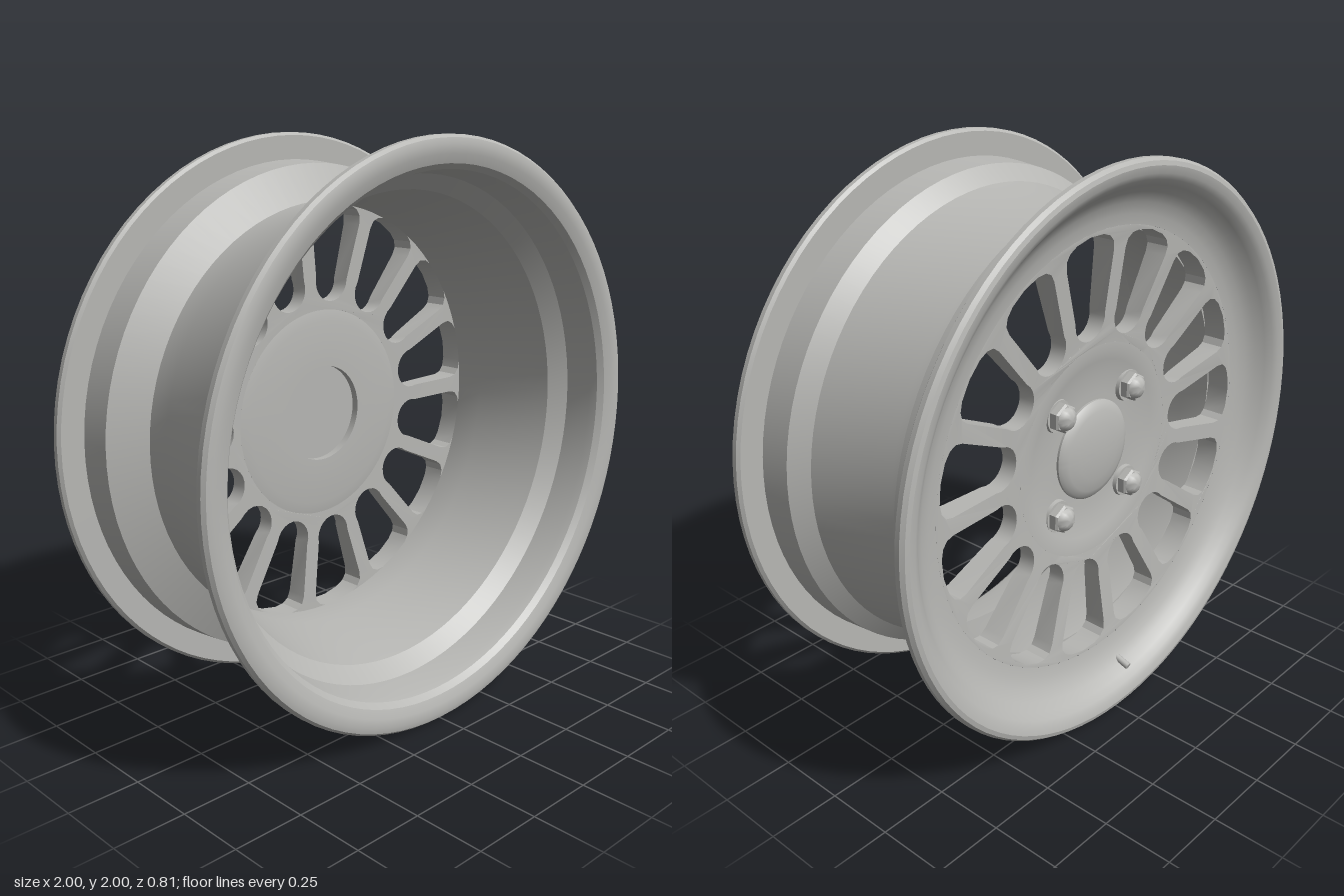
import * as THREE from 'three';
import { toCreasedNormals } from 'three/addons/utils/BufferGeometryUtils.js';

const SIDES = 90;
const SPOKES = 15;
const DISC_IN = 0.38, DISC_OUT = 0.775;
const metal = new THREE.MeshStandardMaterial({ color: 0xb6b6b3 });
metal.name = 'grey metal';

function add(parent, name, geometry) {
  const mesh = new THREE.Mesh(geometry, metal);
  mesh.name = name;
  parent.add(mesh);
  return mesh;
}

// Turn a profile of [radius, z] points about the z axis
function turned(profile, sides = SIDES, crease = 0.45) {
  const g = new THREE.LatheGeometry(profile.map(([r, z]) => new THREE.Vector2(r, z)), sides);
  g.rotateX(Math.PI / 2);
  return toCreasedNormals(g, crease);
}

function circle(radius) {
  return Array.from({ length: SIDES }, (_, i) => {
    const a = (i / SIDES) * Math.PI * 2;
    return new THREE.Vector2(radius * Math.cos(a), radius * Math.sin(a));
  });
}

// One window between two spokes: round inner end, chamfered outer end
function windowPoints(angle) {
  const half = [];
  for (let i = 0; i <= 6; i++) {
    const t = Math.PI - (i / 6) * Math.PI * 0.53;
    half.push([0.485 + 0.075 * Math.cos(t), 0.075 * Math.sin(t)]);
  }
  half.push([0.69, 0.116], [0.72, 0.115], [0.742, 0.098], [0.757, 0.065], [0.765, 0]);
  const mirrored = half.slice(1, -1).reverse().map(([u, v]) => [u, -v]);
  return [...half, ...mirrored].map(([u, v]) =>
    new THREE.Vector2(u, v).rotateAround(new THREE.Vector2(), angle));
}

// Spoked disc, dished slightly by moving both faces according to radius
function discGeometry() {
  const shape = new THREE.Shape(circle(DISC_OUT));
  shape.holes.push(new THREE.Path(circle(DISC_IN)));
  for (let i = 0; i < SPOKES; i++) {
    shape.holes.push(new THREE.Path(windowPoints(((i + 0.5) / SPOKES) * Math.PI * 2)));
  }
  const g = new THREE.ExtrudeGeometry(shape, { depth: 1, bevelEnabled: false });
  const p = g.attributes.position;
  for (let i = 0; i < p.count; i++) {
    const t = (Math.hypot(p.getX(i), p.getY(i)) - DISC_IN) / (DISC_OUT - DISC_IN);
    const face = THREE.MathUtils.lerp(-0.272, -0.298, t);
    const back = THREE.MathUtils.lerp(-0.215, -0.21, t);
    p.setZ(i, p.getZ(i) < 0.5 ? face : back);
  }
  return toCreasedNormals(g, 0.45);
}

export function createModel() {
  const model = new THREE.Group();
  model.name = 'wheel rim';
  const wheel = new THREE.Group();
  wheel.name = 'wheel';
  wheel.position.y = 1;
  model.add(wheel);

  // Barrel with a rolled flange at each end, and the bowl around the spokes
  add(wheel, 'barrel', turned([
    [0.775, -0.298], [0.81, -0.303], [0.85, -0.317], [0.885, -0.34], [0.91, -0.367],
    [0.93, -0.388], [0.95, -0.4], [0.975, -0.405], [0.99, -0.401], [1, -0.388],
    [1, -0.37], [0.99, -0.36], [0.906, -0.36],
    [0.896, -0.25], [0.77, -0.19], [0.77, -0.1], [0.84, 0.2], [0.896, 0.25], [0.906, 0.36],
    [0.99, 0.36], [1, 0.37], [1, 0.388], [0.99, 0.4], [0.97, 0.405], [0.94, 0.401],
    [0.91, 0.39], [0.892, 0.37], [0.885, 0.34],
    [0.875, 0.245], [0.822, 0.19], [0.757, -0.1], [0.757, -0.21], [0.775, -0.21],
  ]));

  add(wheel, 'spokedDisc', discGeometry());

  // Hub with a shallow recess for the bolts and a bore on the inner side
  add(wheel, 'hub', turned([
    [0, -0.25], [0.2, -0.25], [0.27, -0.254], [0.32, -0.265], [0.35, -0.271], [DISC_IN, -0.272],
    [DISC_IN, -0.215], [0.34, -0.208], [0.175, -0.208], [0.175, -0.235], [0, -0.235],
  ]));

  // Domed centre cap
  add(wheel, 'centreCap', turned([
    [0, -0.292], [0.05, -0.291], [0.1, -0.286], [0.145, -0.277], [0.168, -0.268], [0.178, -0.258], [0.178, -0.245],
  ]));

  // Four wheel nuts: hexagon with a domed top
  for (let i = 0; i < 4; i++) {
    const a = Math.PI / 4 + (i * Math.PI) / 2;
    const nut = new THREE.Group();
    nut.name = 'wheelNut' + (i + 1);
    nut.position.set(0.26 * Math.cos(a), 0.26 * Math.sin(a), 0);
    add(nut, 'nutCollar', turned([[0, -0.265], [0.056, -0.265], [0.06, -0.245]], 24));
    add(nut, 'nutBody', turned([[0, -0.3], [0.046, -0.298], [0.052, -0.29], [0.052, -0.245]], 6));
    add(nut, 'nutDome', turned([[0, -0.322], [0.02, -0.319], [0.034, -0.31], [0.042, -0.296]], 24, 0.8));
    wheel.add(nut);
  }

  // Air valve through the bowl, lined up with a lower spoke
  const valve = new THREE.Group();
  valve.name = 'valve';
  valve.rotation.z = THREE.MathUtils.degToRad(264 - 270);
  const stem = add(valve, 'valveStem', new THREE.CylinderGeometry(0.013, 0.013, 0.17, 12));
  stem.position.set(0, -0.86, -0.295);
  stem.rotation.x = Math.PI / 2 - 0.35;
  const base = add(valve, 'valveBase', new THREE.CylinderGeometry(0.022, 0.022, 0.05, 12));
  base.position.set(0, -0.83, -0.213);
  base.rotation.x = Math.PI / 2 - 0.35;
  wheel.add(valve);

  return model;
}
